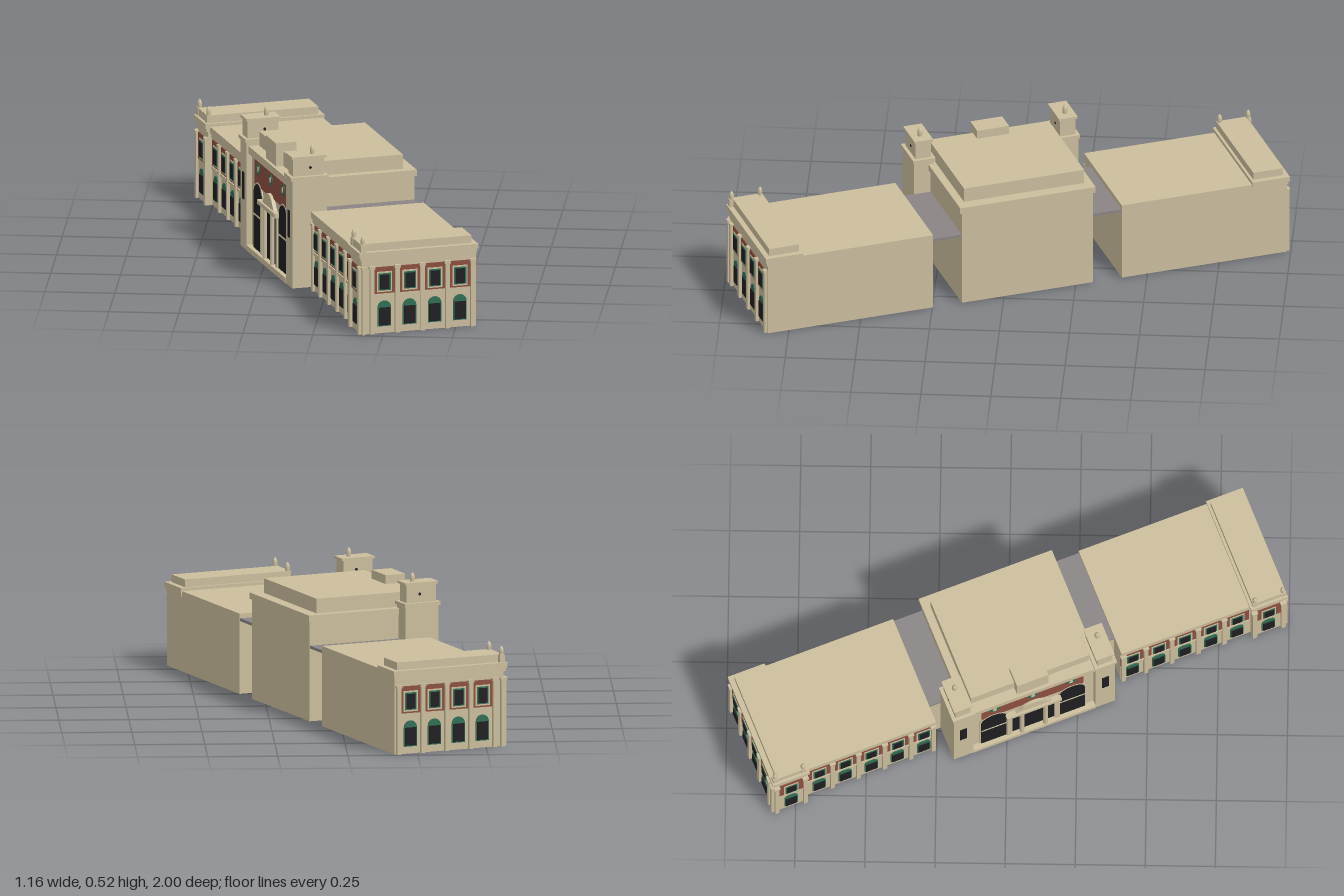
import * as THREE from 'three';

const mat = (name, color) => {
  const m = new THREE.MeshStandardMaterial({ color });
  m.name = name;
  return m;
};

export function createModel() {
  const stone = mat('sandstone', 0xcbbe9d);
  const brick = mat('red brick', 0x8c5040);
  const green = mat('green trim', 0x2f6f55);
  const dark = mat('dark opening', 0x1e1e21);
  const grey = mat('grey roof', 0x8a8584);

  // Local frame: x runs along the facade, z points out of the facade
  const building = new THREE.Group();
  building.name = 'building';

  const add = (parent, name, geo, m) => {
    const mesh = new THREE.Mesh(geo, m);
    mesh.name = name;
    parent.add(mesh);
    return mesh;
  };
  const box = (parent, name, m, x0, x1, y0, y1, z0, z1) => {
    const g = new THREE.BoxGeometry(Math.abs(x1 - x0), y1 - y0, z1 - z0);
    g.translate((x0 + x1) / 2, (y0 + y1) / 2, (z0 + z1) / 2);
    return add(parent, name, g, m);
  };
  // Thin plate standing on a wall, proud of it by t
  const plate = (parent, name, m, x, w, y0, y1, t) =>
    box(parent, name, m, x - w / 2, x + w / 2, y0, y1, t - 0.004, t);
  // Plate with a semicircular head
  const arch = (parent, name, m, x, w, y0, spring, t) => {
    const s = new THREE.Shape();
    s.moveTo(x - w / 2, y0);
    s.lineTo(x + w / 2, y0);
    s.lineTo(x + w / 2, spring);
    s.absarc(x, spring, w / 2, 0, Math.PI, false);
    const g = new THREE.ExtrudeGeometry(s, { depth: 0.004, bevelEnabled: false, curveSegments: 10 });
    g.translate(0, 0, t - 0.004);
    return add(parent, name, g, m);
  };
  const ellipse = (parent, name, m, x, y, rx, ry, t) => {
    const s = new THREE.Shape();
    s.absellipse(x, y, rx, ry, 0, Math.PI * 2);
    const g = new THREE.ExtrudeGeometry(s, { depth: 0.004, bevelEnabled: false, curveSegments: 8 });
    g.translate(0, 0, t - 0.004);
    return add(parent, name, g, m);
  };
  // A wall surface on which bays are laid out
  const wall = (name, x, z, turn) => {
    const g = new THREE.Group();
    g.name = name;
    g.position.set(x, 0, z);
    g.rotation.y = turn;
    building.add(g);
    return g;
  };
  // One two-storey bay: framed window in brick above, arched window below
  const bay = (parent, x, brickWidth) => {
    const g = new THREE.Group();
    g.name = 'windowBay';
    g.position.x = x;
    parent.add(g);
    plate(g, 'brickPanel', brick, 0, brickWidth, 0.147, 0.245, 0.003);
    plate(g, 'upperFrame', stone, 0, 0.056, 0.153, 0.228, 0.005);
    plate(g, 'upperTrim', green, 0, 0.045, 0.159, 0.222, 0.007);
    plate(g, 'upperPane', dark, 0, 0.035, 0.163, 0.217, 0.009);
    arch(g, 'lowerTrim', green, 0, 0.05, 0.026, 0.095, 0.004);
    plate(g, 'lowerPane', dark, 0, 0.042, 0.03, 0.095, 0.007);
  };
  const pilaster = (parent, x, w = 0.016) => {
    box(parent, 'pilaster', stone, x - w / 2, x + w / 2, 0, 0.25, -0.002, 0.011);
    box(parent, 'pilasterCapital', stone, x - w / 2 - 0.003, x + w / 2 + 0.003, 0.24, 0.25, -0.002, 0.013);
  };
  // Bullet-shaped roof finial
  const finial = (x, y, z, s = 1) => {
    const pts = [[0.008, 0], [0.0085, 0.01], [0.0085, 0.018], [0.0065, 0.025], [0.003, 0.03], [0, 0.033]]
      .map(([r, h]) => new THREE.Vector2(r * s, h * s));
    add(building, 'finial', new THREE.LatheGeometry(pts, 12), stone).position.set(x, y, z);
  };

  // Wings, end pavilions, connectors and towers, mirrored about the centre
  for (const s of [-1, 1]) {
    const b = (name, m, x0, x1, ...r) => box(building, name, m, s * x0, s * x1, ...r);

    // Wing
    b('wing', stone, 0.355, 0.9, 0, 0.289, -0.217, 0.194);
    b('wingCornice', stone, 0.355, 0.85, 0.268, 0.291, -0.217, 0.204);
    b('wingFrieze', stone, 0.355, 0.85, 0.25, 0.268, 0.18, 0.199);
    const front = wall('wingFront', 0, 0.194, 0);
    for (let i = 0; i < 5; i++) bay(front, s * (0.4 + 0.1 * i), 0.09);
    for (let i = 0; i < 5; i++) pilaster(front, s * (0.364 + (i ? 0.1 * i - 0.014 : 0)));
    box(front, 'beltCourse', stone, s * 0.355, s * 0.846, 0.135, 0.145, -0.002, 0.006);

    // End pavilion
    b('pavilion', stone, 0.852, 0.977, 0, 0.285, -0.217, 0.211);
    b('pavilionCornice', stone, 0.845, 0.986, 0.285, 0.303, -0.223, 0.222);
    b('pavilionCorniceLower', stone, 0.848, 0.982, 0.272, 0.285, -0.22, 0.217);
    b('pavilionParapet', stone, 0.855, 0.967, 0.303, 0.331, -0.203, 0.212);
    for (const x of [0.865, 0.972]) {
      b('finialPost', stone, x - 0.01, x + 0.01, 0.303, 0.331, 0.194, 0.214);
      finial(s * x, 0.33, 0.204);
    }
    const pavFront = wall('pavilionFront', 0, 0.211, 0);
    bay(pavFront, s * 0.914, 0.1);
    pilaster(pavFront, s * 0.86);
    pilaster(pavFront, s * 0.969);
    const end = wall('pavilionEnd', s * 0.977, 0, (s * Math.PI) / 2);
    for (let i = 0; i < 4; i++) bay(end, -s * (0.126 - 0.094 * i), 0.08);
    for (let i = 0; i < 5; i++) pilaster(end, -s * (0.173 - 0.094 * i));
    pilaster(end, -s * 0.204, 0.014);

    // Connector: flat roof over an open gap, closed at the front
    b('connectorRoof', grey, 0.24, 0.36, 0.264, 0.274, -0.215, 0.132);
    b('connectorWall', stone, 0.24, 0.36, 0, 0.264, 0.12, 0.13);

    // Tower
    b('tower', stone, 0.234, 0.309, 0, 0.397, 0.131, 0.26);
    b('towerCornice', stone, 0.23, 0.314, 0.397, 0.41, 0.126, 0.266);
    b('towerTop', stone, 0.243, 0.301, 0.41, 0.474, 0.139, 0.254);
    b('towerCap', stone, 0.237, 0.307, 0.474, 0.483, 0.132, 0.26);
    finial(s * 0.273, 0.482, 0.174, 1.05);
    const towerFront = wall('towerFront', 0, 0.26, 0);
    plate(towerFront, 'towerSlit', dark, s * 0.272, 0.026, 0.18, 0.28, 0.002);
    for (const side of [-1, 1]) {
      const w = wall('towerSide', s * 0.272 + side * 0.029, 0.19, (side * Math.PI) / 2);
      ellipse(w, 'towerVent', dark, 0, 0.44, 0.005, 0.005, 0.002);
    }
  }

  // Central hall
  box(building, 'hall', stone, -0.247, 0.247, 0, 0.362, -0.217, 0.2);
  box(building, 'hallFront', stone, -0.236, 0.236, 0, 0.362, 0.19, 0.24);
  box(building, 'hallCornice', stone, -0.255, 0.255, 0.362, 0.385, -0.223, 0.215);
  box(building, 'hallFrontCornice', stone, -0.236, 0.236, 0.357, 0.385, 0.2, 0.254);
  box(building, 'hallAttic', stone, -0.226, 0.226, 0.385, 0.438, -0.18, 0.215);
  box(building, 'roofBlock', stone, -0.06, 0.06, 0.385, 0.47, 0.166, 0.243);

  // Entrance front
  const entry = wall('entrance', 0, 0.24, 0);
  plate(entry, 'entranceBrick', brick, 0, 0.39, 0.255, 0.355, 0.003);
  for (const x of [-0.146, 0, 0.146]) {
    ellipse(entry, 'medallion', green, x, 0.32, 0.019, 0.021, 0.005);
    ellipse(entry, 'medallionCentre', stone, x, 0.32, 0.008, 0.011, 0.007);
  }
  box(entry, 'entranceStep', stone, -0.234, 0.234, 0, 0.02, -0.002, 0.022);
  plate(entry, 'doorway', dark, 0, 0.17, 0.02, 0.21, 0.003);
  for (const s of [-1, 1]) {
    arch(entry, 'archSurround', stone, s * 0.15, 0.108, 0.02, 0.215, 0.004);
    arch(entry, 'archOpening', dark, s * 0.15, 0.096, 0.02, 0.215, 0.006);
    plate(entry, 'archTransom', stone, s * 0.15, 0.096, 0.143, 0.149, 0.008);
    box(entry, 'portalPier', stone, s * 0.082, s * 0.1, 0.02, 0.21, -0.002, 0.012);
    const column = new THREE.CylinderGeometry(0.008, 0.009, 0.19, 10);
    add(entry, 'portalColumn', column, stone).position.set(s * 0.045, 0.115, 0.012);
  }
  box(entry, 'portalEntablature', stone, -0.105, 0.105, 0.206, 0.222, -0.002, 0.022);
  const gable = new THREE.Shape();
  gable.moveTo(-0.07, 0.22);
  gable.lineTo(0.07, 0.22);
  gable.lineTo(0.05, 0.24);
  gable.quadraticCurveTo(0.035, 0.268, 0, 0.27);
  gable.quadraticCurveTo(-0.035, 0.268, -0.05, 0.24);
  add(entry, 'portalGable', new THREE.ExtrudeGeometry(gable, { depth: 0.014, bevelEnabled: false }), stone);

  // The building stands at an angle on its site
  building.rotation.y = THREE.MathUtils.degToRad(-67.85);
  const model = new THREE.Group();
  model.name = 'model';
  model.add(building);
  return model;
}
